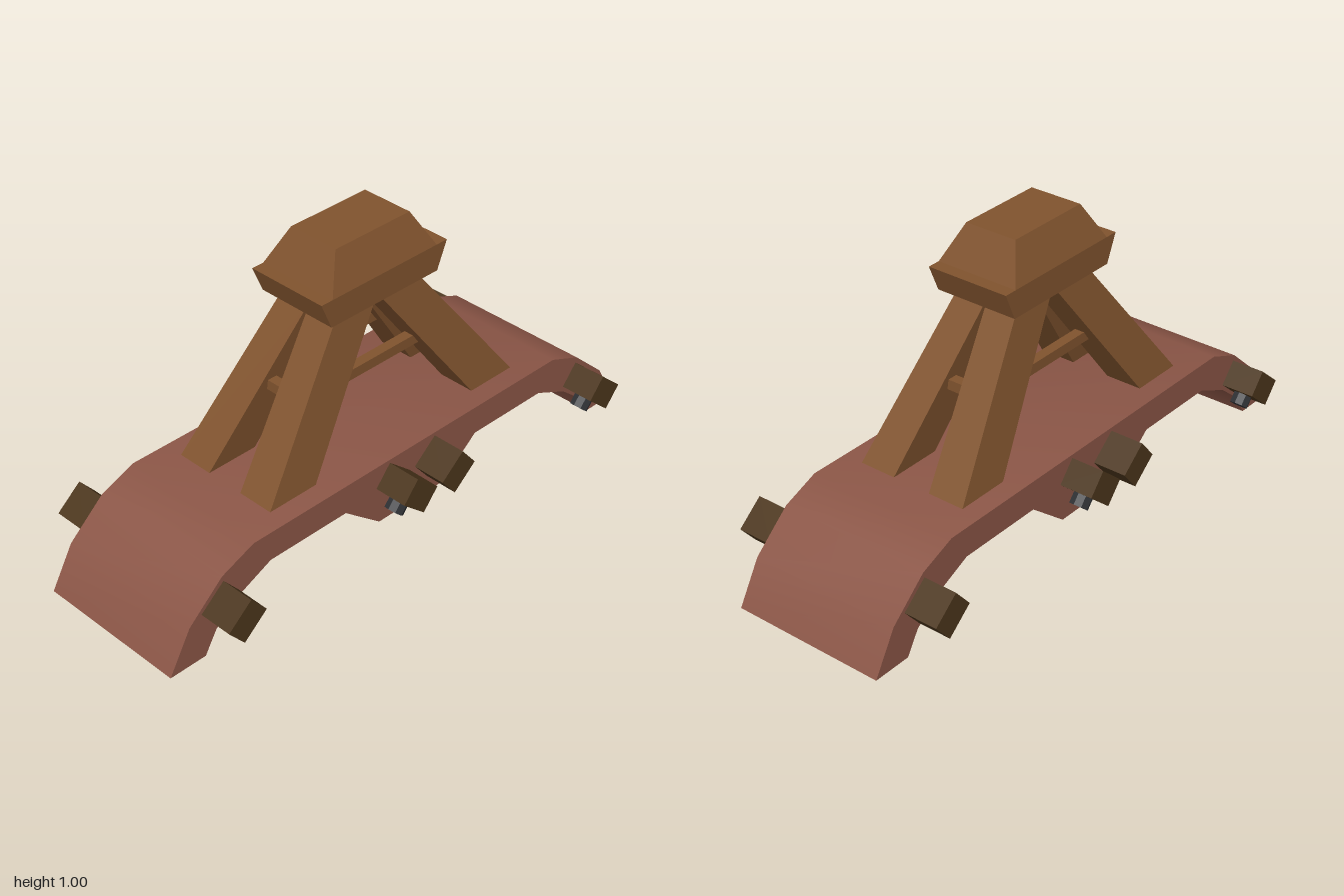
import * as THREE from 'three';
import { toCreasedNormals } from 'three/addons/utils/BufferGeometryUtils.js';

const material = (color) => new THREE.MeshStandardMaterial({ color });

// Joins a stack of rectangles [x0, x1, z0, z1, y], bottom to top, into a closed solid
function loft(sections) {
  const pos = [];
  const index = [];
  for (const [x0, x1, z0, z1, y] of sections) {
    pos.push(x0, y, z1, x1, y, z1, x1, y, z0, x0, y, z0);
  }
  for (let s = 0; s < sections.length - 1; s++) {
    for (let i = 0; i < 4; i++) {
      const a = s * 4 + i;
      const b = s * 4 + (i + 1) % 4;
      index.push(a, b, b + 4, a, b + 4, a + 4);
    }
  }
  const t = (sections.length - 1) * 4;
  index.push(0, 2, 1, 0, 3, 2, t, t + 1, t + 2, t, t + 2, t + 3);
  const g = new THREE.BufferGeometry();
  g.setAttribute('position', new THREE.Float32BufferAttribute(pos, 3));
  g.setIndex(index);
  const flat = g.toNonIndexed();
  flat.computeVertexNormals();
  return flat;
}

export function createModel() {
  const group = new THREE.Group();
  const clay = material(0x8a5546);
  const wood = material(0x80532e);
  const darkWood = material(0x4b351b);
  const iron = material(0x303236);

  const add = (name, geometry, mat, parent = group) => {
    const mesh = new THREE.Mesh(geometry, mat);
    mesh.name = name;
    parent.add(mesh);
    return mesh;
  };

  // Arched base: half outline mirrored, then extruded along z
  const under = [[0.145, 0.09], [0.29, 0.205], [0.6, 0.205], [0.73, 0.147], [0.82, 0.075], [0.865, 0.005]];
  const over = [[1, 0.005], [0.92, 0.14], [0.79, 0.255], [0.665, 0.305]];
  const half = [...under, ...over];
  const outline = [...half, ...half.map(([x, y]) => [-x, y]).reverse()];
  const shape = new THREE.Shape(outline.map(([x, y]) => new THREE.Vector2(x, y === 0.005 ? 0 : y)));
  const base = new THREE.ExtrudeGeometry(shape, { depth: 0.54, bevelEnabled: false });
  base.translate(0, 0, -0.27);
  add('archedBase', toCreasedNormals(base, 0.5), clay);

  // Four splayed legs meeting under the cap
  for (const sx of [-1, 1]) {
    for (const sz of [-1, 1]) {
      const section = (xa, xb, za, zb, y) => [
        Math.min(sx * xa, sx * xb), Math.max(sx * xa, sx * xb),
        Math.min(sz * za, sz * zb), Math.max(sz * za, sz * zb), y];
      add('leg', loft([
        section(0.35, 0.537, 0.07, 0.2, 0.3),
        section(0, 0.168, 0, 0.112, 0.79),
      ]), wood);
    }
  }

  // Rails tying the legs together
  for (const s of [-1, 1]) {
    const longRail = add('longRail', new THREE.BoxGeometry(0.56, 0.035, 0.035), wood);
    longRail.position.set(0, 0.541, s * 0.09);
    const crossRail = add('crossRail', new THREE.BoxGeometry(0.035, 0.035, 0.18), wood);
    crossRail.position.set(s * 0.3, 0.541, 0);
  }

  // Cap block with a ledge at each end and a tapered top
  add('cap', loft([
    [-0.225, 0.225, -0.147, 0.147, 0.787],
    [-0.265, 0.265, -0.147, 0.147, 0.88],
    [-0.22, 0.22, -0.147, 0.147, 0.88],
    [-0.155, 0.155, -0.093, 0.093, 1],
  ]), wood);

  // Tilted side blocks, each with a bolt beneath: [x, y, tilt]
  const tilt = 0.7;
  for (const [x, y, angle] of [[0.8, 0.165, -tilt], [0.085, 0.222, tilt]]) {
    for (const sx of [-1, 1]) {
      for (const sz of [-1, 1]) {
        const block = new THREE.Group();
        block.name = 'boltedBlock';
        block.position.set(sx * x, y, sz * 0.325);
        block.rotation.z = sx * angle;
        add('block', new THREE.BoxGeometry(0.115, 0.09, 0.125), darkWood, block);
        const bolt = add('bolt', new THREE.CylinderGeometry(0.032, 0.032, 0.06, 8).toNonIndexed(), iron, block);
        bolt.geometry.computeVertexNormals();
        bolt.position.y = -0.053;
        group.add(block);
      }
    }
  }

  return group;
}
